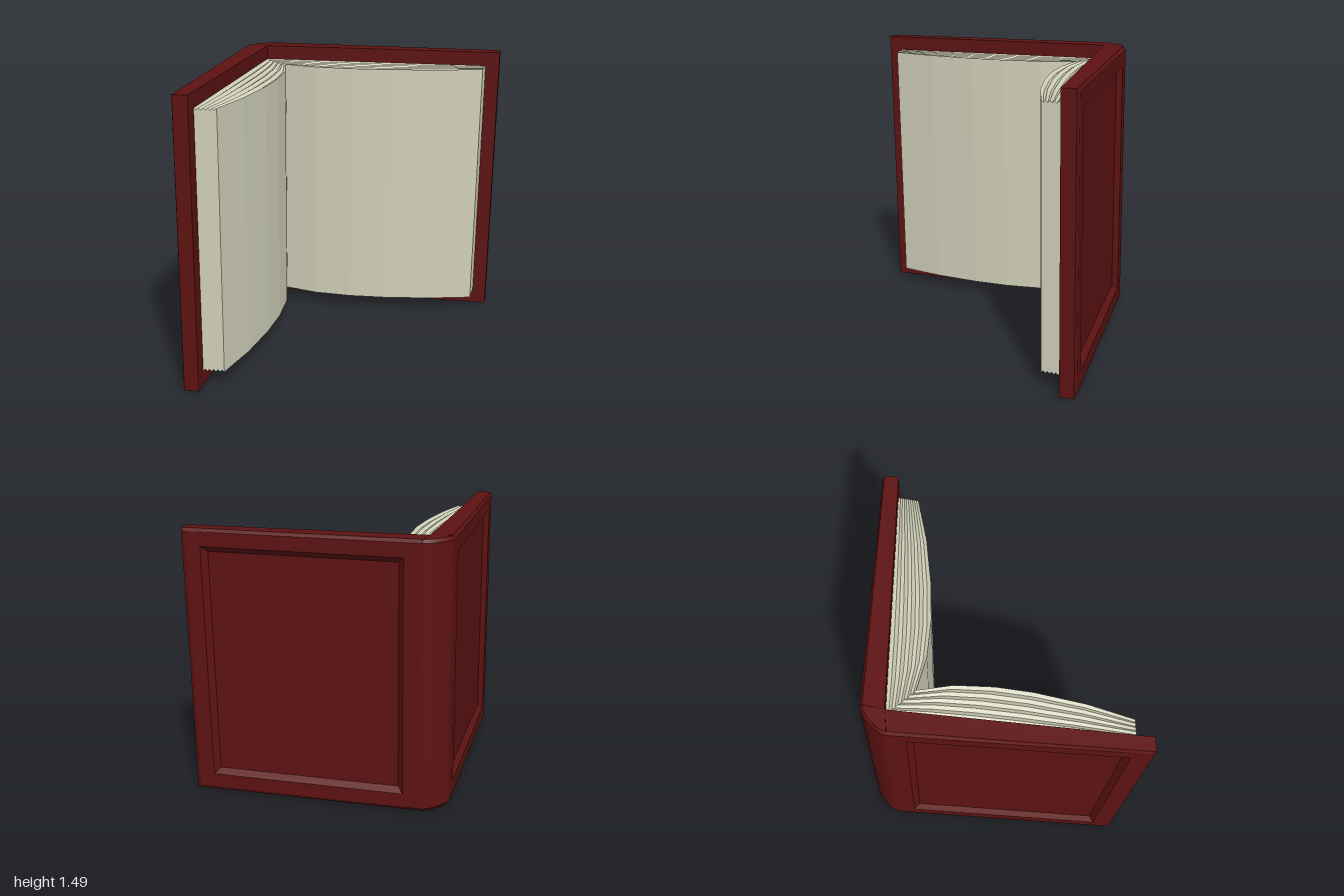
import * as THREE from 'three';
import { toCreasedNormals } from 'three/addons/utils/BufferGeometryUtils.js';

const HEIGHT = 1.49;
const APEX = [0, -0.4]; // inner fold of the cover, as x and z

// Joins matching loops of [x, y, z] points and closes both ends; mirror = -1 builds the other side
function loft(rings, mirror = 1) {
  const pos = [];
  const n = rings[0].length;
  const quad = (a, b, c, d) => {
    const order = mirror > 0 ? [a, b, c, a, c, d] : [a, c, b, a, d, c];
    for (const p of order) pos.push(p[0] * mirror, p[1], p[2]);
  };
  for (let r = 0; r < rings.length - 1; r++) {
    for (let i = 0; i < n; i++) {
      const j = (i + 1) % n;
      quad(rings[r][i], rings[r][j], rings[r + 1][j], rings[r + 1][i]);
    }
  }
  const first = rings[0];
  const last = rings[rings.length - 1];
  for (let k = 0; k < n / 2 - 1; k++) {
    const [a, b, c, d] = [k, k + 1, n - 2 - k, n - 1 - k];
    quad(last[a], last[b], last[c], last[d]);
    quad(first[d], first[c], first[b], first[a]);
  }
  const geometry = new THREE.BufferGeometry();
  geometry.setAttribute('position', new THREE.Float32BufferAttribute(pos, 3));
  geometry.computeVertexNormals();
  return geometry;
}

// Upright rectangle between two plan points, inset from top and bottom
function upright([x0, z0], [x1, z1], inset) {
  const top = HEIGHT - inset;
  return [[x0, inset, z0], [x0, top, z0], [x1, top, z1], [x1, inset, z1]];
}

// Cover board: bevelled outer edge and a sunken panel on the outside
function boardGeometry(mirror) {
  return loft([
    upright(APEX, [0.946, 0.48], 0),
    upright([0.09, -0.465], [1.0, 0.43], 0),
    upright([0.1, -0.475], [0.99, 0.407], 0.018),
    upright([0.166, -0.41], [0.933, 0.35], 0.095),
    upright([0.166, -0.368], [0.891, 0.35], 0.125),
  ], mirror);
}

// Rounded spine, chamfered at top and bottom
function spineGeometry() {
  const half = [[0.1, -0.475], [0.078, -0.49], [0.045, -0.499]];
  const outline = [...half, [0, -0.5], ...half.map(([x, z]) => [-x, z]).reverse(), APEX];
  const ring = (y, s) => outline.map(([x, z]) => [x * s, y, APEX[1] + (z - APEX[1]) * s]);
  return toCreasedNormals(loft([
    ring(0, 0.87), ring(0.018, 1), ring(HEIGHT - 0.018, 1), ring(HEIGHT, 0.87),
  ]), 0.6);
}

// Page block: fans from the fold to the fore-edge, with ridged top and bottom
function pagesGeometry(mirror) {
  const face = [[0, -0.205], [0.1, -0.05], [0.24, 0.098], [0.39, 0.225], [0.6, 0.375], [0.81, 0.497]];
  const along = [0, 0.14, 0.31, 0.5, 0.75, 1];
  const steps = 10;
  const sections = face.map(([fx, fz], s) => {
    const bx = 0.893 * along[s];
    const bz = APEX[1] + 0.83 * along[s];
    const top = [];
    const bottom = [];
    for (let i = 0; i <= steps; i++) {
      const v = i / steps;
      const x = bx + (fx - bx) * v;
      const z = bz + (fz - bz) * v;
      const ridge = i % 2 ? 0.01 : 0;
      top.push([x, 1.415 - ridge, z]);
      bottom.unshift([x, 0.075 + ridge, z]);
    }
    return [...top, ...bottom];
  });
  return loft(sections, mirror);
}

export function createModel() {
  const book = new THREE.Group();
  book.name = 'openBook';
  const leather = new THREE.MeshStandardMaterial({ color: 0x5e1212 });
  const paper = new THREE.MeshStandardMaterial({ color: 0xd2d1ba, flatShading: true });
  const add = (name, geometry, material) => {
    const mesh = new THREE.Mesh(geometry, material);
    mesh.name = name;
    book.add(mesh);
  };

  add('spine', spineGeometry(), leather);
  for (const [side, mirror] of [['left', 1], ['right', -1]]) {
    add(side + 'Cover', boardGeometry(mirror), leather);
    add(side + 'Pages', pagesGeometry(mirror), paper);
  }
  return book;
}
